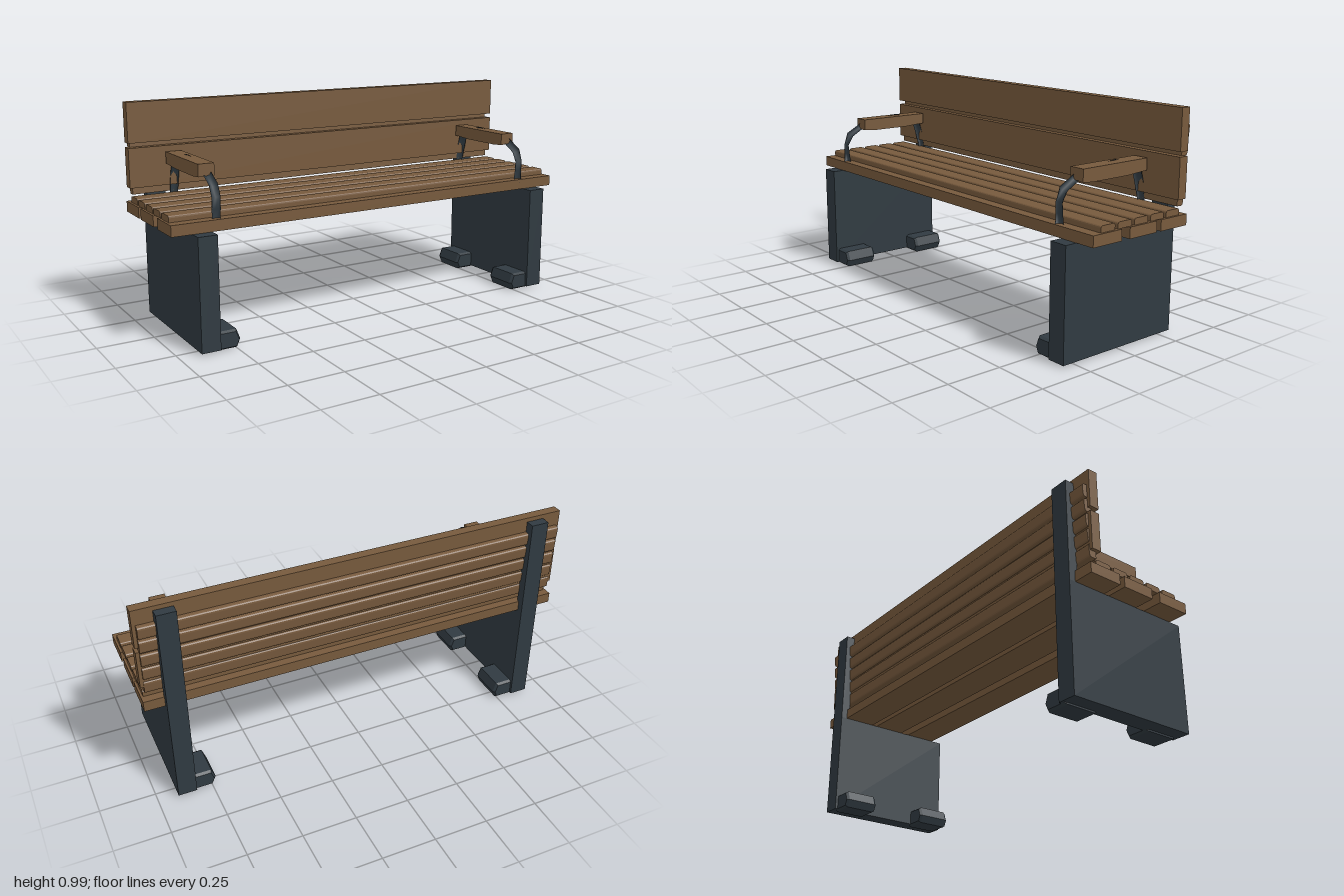
import * as THREE from 'three';

const wood = new THREE.MeshStandardMaterial({ color: 0x775a3d });
wood.name = 'brown wood';
const metal = new THREE.MeshStandardMaterial({ color: 0x303a41 });
metal.name = 'dark metal';

function add(parent, name, geometry, material) {
  const mesh = new THREE.Mesh(geometry, material);
  mesh.name = name;
  parent.add(mesh);
  return mesh;
}

// Box given by its lower and upper limits on each axis
function box(parent, name, material, [x0, x1], [y0, y1], [z0, z1]) {
  const mesh = add(parent, name, new THREE.BoxGeometry(x1 - x0, y1 - y0, z1 - z0), material);
  mesh.position.set((x0 + x1) / 2, (y0 + y1) / 2, (z0 + z1) / 2);
  return mesh;
}

// Long slat along x: flat underside and rounded upper edges
function slatGeometry(length, width, height) {
  const w = width / 2, r = height * 0.35;
  const s = new THREE.Shape();
  s.moveTo(-w, 0);
  s.lineTo(w, 0);
  s.lineTo(w, height - r);
  s.quadraticCurveTo(w, height, w - r, height);
  s.lineTo(-w + r, height);
  s.quadraticCurveTo(-w, height, -w, height - r);
  const g = new THREE.ExtrudeGeometry(s, { depth: length, bevelEnabled: false, curveSegments: 3 });
  return g.translate(0, 0, -length / 2).rotateY(Math.PI / 2);
}

// Bent bar in the y-z plane; each section is [z, y, half thickness, half width]
function barGeometry(sections, cx) {
  const sides = 8, pos = [], idx = [];
  sections.forEach(([z, y, t, w], i) => {
    const a = sections[Math.max(i - 1, 0)];
    const b = sections[Math.min(i + 1, sections.length - 1)];
    const dir = new THREE.Vector2(b[0] - a[0], b[1] - a[1]).normalize();
    for (let k = 0; k < sides; k++) {
      const q = (k / sides) * Math.PI * 2;
      const n = Math.sin(q) * t;
      pos.push(cx + Math.cos(q) * w, y + dir.x * n, z - dir.y * n);
    }
  });
  for (let i = 0; i < sections.length - 1; i++) {
    for (let k = 0; k < sides; k++) {
      const a = i * sides + k, b = i * sides + ((k + 1) % sides);
      idx.push(a, a + sides, b, b, a + sides, b + sides);
    }
  }
  // End caps
  const last = (sections.length - 1) * sides;
  for (let k = 1; k < sides - 1; k++) {
    idx.push(0, k, k + 1, last, last + k + 1, last + k);
  }
  const g = new THREE.BufferGeometry();
  g.setAttribute('position', new THREE.Float32BufferAttribute(pos, 3));
  g.setIndex(idx);
  g.computeVertexNormals();
  return g;
}

// Foot block pointing inwards, with chamfered tip and edges
function footGeometry(side) {
  const s = new THREE.Shape();
  [[0.84, 0.008], [0.75, 0.008], [0.738, 0.035], [0.752, 0.072], [0.84, 0.072]]
    .forEach(([x, y], i) => (i ? s.lineTo(side * x, y) : s.moveTo(side * x, y)));
  s.closePath();
  return new THREE.ExtrudeGeometry(s, {
    depth: 0.14, bevelEnabled: true, bevelThickness: 0.012, bevelSize: 0.008, bevelSegments: 1,
  }).translate(0, 0, -0.07);
}

export function createModel() {
  const bench = new THREE.Group();
  bench.name = 'bench';

  // Seat: three base planks with five slats on top
  const seat = new THREE.Group();
  seat.name = 'seat';
  bench.add(seat);
  for (const z of [[0.1, 0.255], [-0.1, 0.055], [-0.28, -0.125]]) {
    box(seat, 'seatPlank', wood, [-1, 1], [0.497, 0.545], z);
  }
  for (let i = 0; i < 5; i++) {
    const slat = add(seat, 'seatSlat', slatGeometry(1.98, 0.077, 0.028), wood);
    slat.position.set(0, 0.545, 0.167 - i * 0.0925);
  }

  // Backrest: two wide planks with a leaning row of slats behind
  const back = new THREE.Group();
  back.name = 'backrest';
  bench.add(back);
  box(back, 'upperBackPlank', wood, [-1, 1], [0.807, 0.985], [-0.267, -0.222]);
  box(back, 'lowerBackPlank', wood, [-1, 1], [0.61, 0.786], [-0.267, -0.222]);
  for (let i = 0; i < 5; i++) {
    const slat = add(back, 'backSlat', slatGeometry(1.97, 0.06, 0.035), wood);
    slat.rotation.x = -Math.PI / 2 - 0.07;
    slat.position.set(0, 0.61 + i * 0.069, -0.236 - i * 0.0045);
  }

  for (const side of [1, -1]) {
    const tag = side > 0 ? 'left' : 'right';
    const xs = (a, b) => (side > 0 ? [a, b] : [-b, -a]);

    // Side panel, rear post and feet
    box(bench, tag + 'SidePanel', metal, xs(0.825, 0.91), [0.008, 0.497], [-0.31, 0.31]);
    box(bench, tag + 'BackPost', metal, xs(0.825, 0.91), [0.497, 0.965], [-0.31, -0.267]);
    for (const z of [0.216, -0.216]) {
      add(bench, tag + 'Foot', footGeometry(side), metal).position.z = z;
    }

    // Armrest: wooden bar on a bent metal support
    const arm = new THREE.Group();
    arm.name = tag + 'Armrest';
    bench.add(arm);
    const top = new THREE.Shape();
    [[0.153, 0.76], [-0.213, 0.76], [-0.213, 0.708], [-0.1, 0.701], [0.1, 0.701], [0.153, 0.706]]
      .forEach(([z, y], i) => (i ? top.lineTo(-z, y) : top.moveTo(-z, y)));
    top.closePath();
    const bar = new THREE.ExtrudeGeometry(top, { depth: 0.072, bevelEnabled: false });
    bar.translate(0, 0, -0.036).rotateY(Math.PI / 2);
    add(arm, tag + 'ArmBar', bar, wood).position.x = side * 0.8;
    add(arm, tag + 'ArmSupport', barGeometry([
      [0.24, 0.53, 0.017, 0.018], [0.243, 0.585, 0.01, 0.02], [0.245, 0.635, 0.005, 0.02],
      [0.222, 0.685, 0.016, 0.02], [0.15, 0.725, 0.014, 0.02], [0.06, 0.738, 0.014, 0.018],
      [-0.06, 0.753, 0.015, 0.016], [-0.15, 0.73, 0.014, 0.018], [-0.195, 0.7, 0.018, 0.02],
      [-0.212, 0.64, 0.017, 0.02], [-0.226, 0.565, 0.01, 0.018],
    ], side * 0.8), metal);
  }
  return bench;
}
